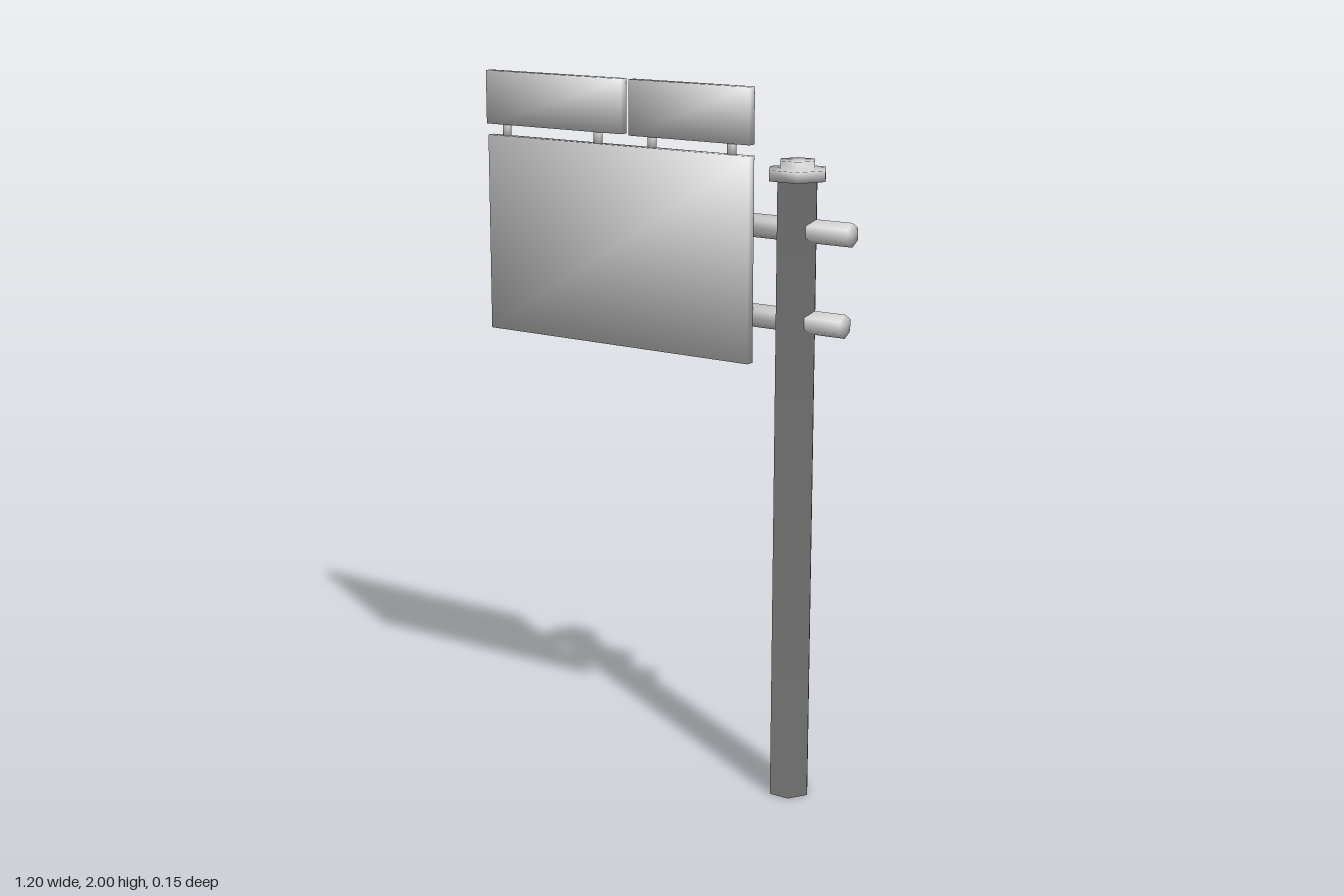
import * as THREE from 'three';
import { mergeVertices } from 'three/addons/utils/BufferGeometryUtils.js';

const material = new THREE.MeshStandardMaterial({ color: 0xcccccc });

// Weld all corners and give them angle-weighted smooth normals
function weld(source) {
  source.deleteAttribute('normal');
  source.deleteAttribute('uv');
  const geo = mergeVertices(source, 1e-4);
  const pos = geo.attributes.position;
  const sums = Array.from({ length: pos.count }, () => new THREE.Vector3());
  const tri = new THREE.Triangle();
  const n = new THREE.Vector3();
  const kept = [];
  for (let i = 0; i < geo.index.count; i += 3) {
    const ids = [0, 1, 2].map((k) => geo.index.getX(i + k));
    tri.setFromAttributeAndIndices(pos, ...ids);
    if (tri.getArea() < 1e-9) continue;
    kept.push(...ids);
    tri.getNormal(n);
    const p = [tri.a, tri.b, tri.c];
    ids.forEach((id, k) => {
      const u = p[(k + 1) % 3].clone().sub(p[k]);
      const v = p[(k + 2) % 3].clone().sub(p[k]);
      sums[id].addScaledVector(n, u.angleTo(v));
    });
  }
  geo.setIndex(kept);
  geo.setAttribute('normal', new THREE.Float32BufferAttribute(
    sums.flatMap((s) => s.normalize().toArray()), 3));
  return geo;
}

export function createModel() {
  const model = new THREE.Group();
  model.name = 'signpost';

  function add(name, geo, x, y, z) {
    const mesh = new THREE.Mesh(weld(geo), material);
    mesh.name = name;
    mesh.position.set(x, y, z);
    model.add(mesh);
  }

  // Hexagonal post with its stepped cap, as one turned profile
  const profile = [
    [0, 0], [0.061, 0], [0.061, 1.757], [0.087, 1.757],
    [0.087, 1.787], [0.053, 1.787], [0.053, 1.81], [0, 1.81],
  ].map(([r, y]) => new THREE.Vector2(r, y));
  add('post', new THREE.LatheGeometry(profile, 6, Math.PI / 2), 0.422, 0, 0);

  // Hexagonal arms running through the post and behind the board
  for (const [name, y, end] of [['upperArm', 1.622, 0.595], ['lowerArm', 1.373, 0.577]]) {
    const start = -0.065;
    const arm = new THREE.CylinderGeometry(0.033, 0.033, end - start, 6);
    arm.rotateY(Math.PI / 2).rotateZ(Math.PI / 2);
    add(name, arm, (start + end) / 2, y, 0);
  }

  // Main board and the two small boards above it
  const boards = [
    ['mainBoard', -0.595, 0.302, 1.245, 1.815],
    ['topBoardRight', -0.6, -0.12, 1.847, 2],
    ['topBoardLeft', -0.095, 0.302, 1.845, 2],
  ];
  for (const [name, x0, x1, y0, y1] of boards) {
    add(name, new THREE.BoxGeometry(x1 - x0, y1 - y0, 0.025),
      (x0 + x1) / 2, (y0 + y1) / 2, 0.04);
  }

  // Short pegs joining the boards
  for (const x of [-0.535, -0.21, -0.025, 0.238]) {
    add('peg', new THREE.CylinderGeometry(0.0125, 0.0125, 0.05, 6), x, 1.83, 0.04);
  }

  return model;
}
